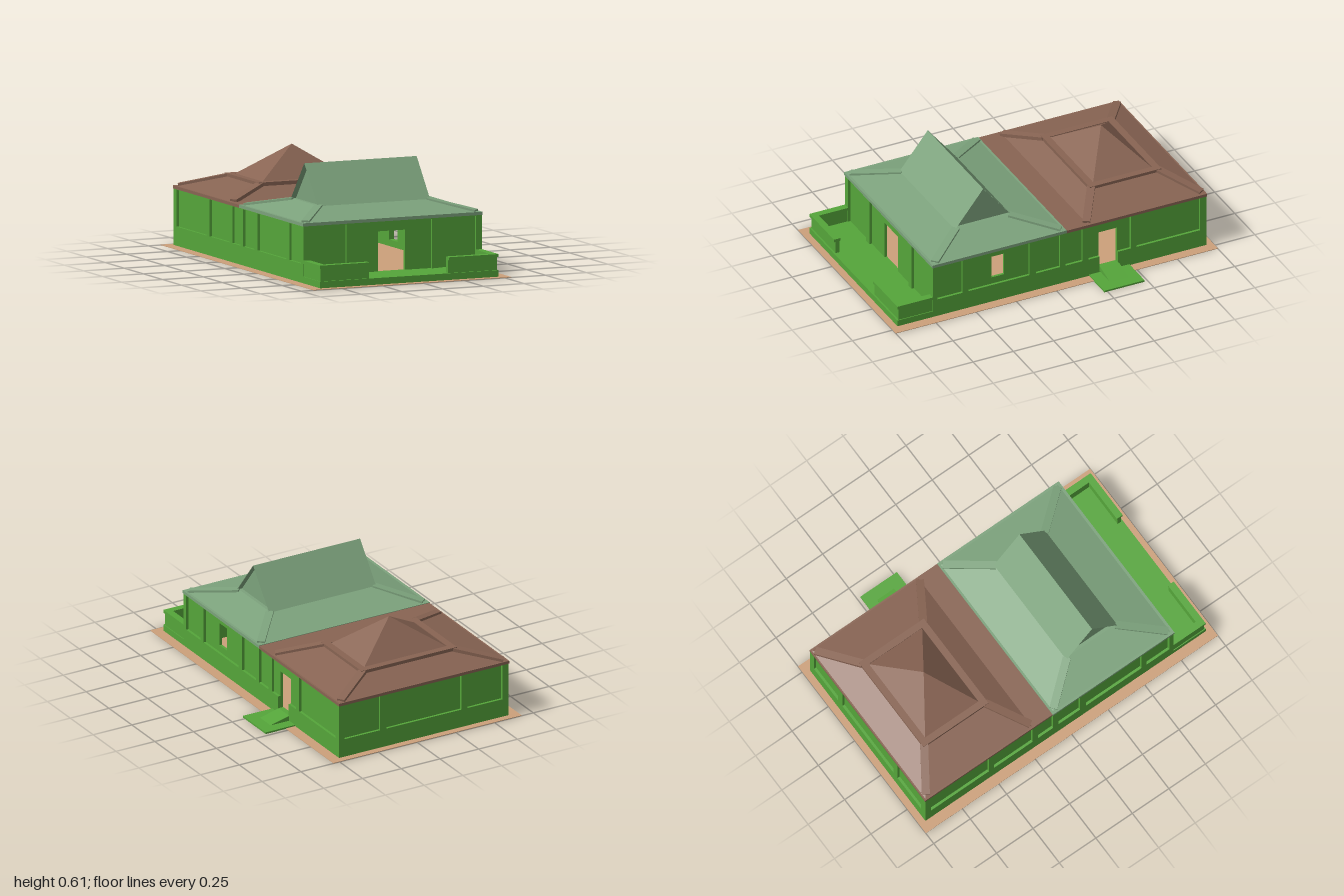
import * as THREE from 'three';

const mat = (name, color, double = false) => {
  const m = new THREE.MeshStandardMaterial({ color });
  m.name = name;
  if (double) m.side = THREE.DoubleSide;
  return m;
};

export function createModel() {
  const wallGreen = mat('wall green', 0x55a53a);
  const roofGreen = mat('sage roof', 0x7ca27c, true);
  const roofBrown = mat('brown roof', 0x886453, true);
  const groundTan = mat('tan ground', 0xcca07a);

  const model = new THREE.Group();
  model.name = 'pavilionHouse';

  const add = (name, geometry, material) => {
    const mesh = new THREE.Mesh(geometry, material);
    mesh.name = name;
    model.add(mesh);
    return mesh;
  };

  // Box given by its extents
  const box = (name, material, x0, x1, y0, y1, z0, z1) => {
    const mesh = add(name, new THREE.BoxGeometry(x1 - x0, y1 - y0, z1 - z0), material);
    mesh.position.set((x0 + x1) / 2, (y0 + y1) / 2, (z0 + z1) / 2);
    return mesh;
  };

  // Sloping faces between two rectangles [x0, x1, z0, z1, y]; sides: 0 front, 1 right, 2 back, 3 left
  const slopes = (name, material, low, high, sides = [0, 1, 2, 3], cap = false) => {
    const ring = ([x0, x1, z0, z1, y]) => [[x0, y, z1], [x1, y, z1], [x1, y, z0], [x0, y, z0]];
    const a = ring(low), b = ring(high), pos = [];
    const tri = (...pts) => pts.forEach((p) => pos.push(...p));
    const same = (p, q) => p.every((v, i) => v === q[i]);
    for (const i of sides) {
      const j = (i + 1) % 4;
      tri(a[i], a[j], b[j]);
      if (!same(b[i], b[j])) tri(a[i], b[j], b[i]);
    }
    if (cap) { tri(b[0], b[1], b[2]); tri(b[0], b[2], b[3]); }
    const g = new THREE.BufferGeometry();
    g.setAttribute('position', new THREE.Float32BufferAttribute(pos, 3));
    g.computeVertexNormals();
    return add(name, g, material);
  };

  // Raised ridge bar from point to point
  const ridge = (name, material, from, to, width = 0.045, height = 0.02) => {
    const p = new THREE.Vector3(...from), q = new THREE.Vector3(...to);
    const mesh = add(name, new THREE.BoxGeometry(width, height, p.distanceTo(q)), material);
    mesh.position.copy(p).add(q).multiplyScalar(0.5);
    mesh.lookAt(q);
  };

  const rect = (u0, u1, v0, v1) => [[u0, v0], [u1, v0], [u1, v1], [u0, v1]];
  const toPoints = (pts) => pts.map(([u, v]) => new THREE.Vector2(u, v));
  const T = 0.015;

  // Wall: thin sheet with openings behind an outer frame with recessed panels
  const wall = (name, u0, u1, panels, openings, angle, x, z) => {
    const group = new THREE.Group();
    group.name = name;
    [['panels', openings, -2 * T], ['frame', panels, -T]].forEach(([part, holes, offset]) => {
      const shape = new THREE.Shape(toPoints(rect(u0, u1, 0, 0.325)));
      holes.forEach((h) => shape.holes.push(new THREE.Path(toPoints(h))));
      const mesh = new THREE.Mesh(
        new THREE.ExtrudeGeometry(shape, { depth: T, bevelEnabled: false }), wallGreen);
      mesh.name = name + part[0].toUpperCase() + part.slice(1);
      mesh.position.z = offset;
      group.add(mesh);
    });
    group.rotation.y = angle;
    group.position.set(x, 0, z);
    model.add(group);
  };

  const X0 = -0.615, X1 = 0.48, Z0 = -0.96, Z1 = 0.74;

  // Ground
  box('ground', groundTan, -0.675, 0.54, 0, 0.003, -1, 1);

  // Front and back walls, each with three bays
  const bays = [[-0.575, -0.35], [-0.31, 0.175], [0.215, 0.445]];
  wall('frontWall', X0, X1, bays.map(([a, b]) => rect(a, b, 0.04, 0.318)),
    [rect(-0.15, 0.015, 0.04, 0.265)], 0, 0, Z1);
  wall('backWall', -X1, -X0, bays.map(([a, b]) => rect(-b, -a, 0.11, 0.318)), [], Math.PI, 0, Z0);

  // Side walls; the bay with the side door reaches down to the ground in the door's width
  const sideBays = [[0.555, 0.71], [0.14, 0.52], [-0.05, 0.10], [-0.19, -0.085], [-0.49, -0.225], [-0.92, -0.525]];
  const rightPanels = sideBays.map(([a, b], i) => i === 4
    ? [[-b, 0.11], [0.295, 0.11], [0.295, 0.012], [0.41, 0.012], [0.41, 0.11], [-a, 0.11], [-a, 0.318], [-b, 0.318]]
    : rect(-b, -a, 0.11, 0.318));
  wall('rightWall', -Z1, -Z0, rightPanels,
    [rect(-0.37, -0.29, 0.15, 0.285), rect(0.295, 0.41, 0.012, 0.26)], Math.PI / 2, X1, 0);
  wall('leftWall', Z0, Z1, sideBays.map(([a, b]) => rect(a, b, 0.11, 0.318)), [], -Math.PI / 2, X0, 0);

  // Terrace with two corner parapets
  box('terrace', wallGreen, X0, X1, 0, 0.04, Z1 - 0.03, 0.96);
  const parapet = (name, outer, inner, end) => {
    const span = (a, b) => [Math.min(a, b), Math.max(a, b)];
    const d = Math.sign(inner - outer) * 0.005;
    box(name + 'Side', wallGreen, ...span(outer + d, inner - d), 0.04, 0.115, Z1, 0.95);
    box(name + 'Front', wallGreen, ...span(inner - d, end), 0.04, 0.115, 0.925, 0.95);
    box(name + 'SideCap', wallGreen, ...span(outer, inner), 0.113, 0.13, Z1, 0.96);
    box(name + 'FrontCap', wallGreen, ...span(inner, end), 0.113, 0.13, 0.92, 0.96);
  };
  parapet('leftParapet', X0, -0.575, -0.31);
  parapet('rightParapet', X1, 0.44, 0.175);

  // Side ramp on a landing slab
  box('rampLanding', wallGreen, X1, 0.67, 0, 0.01, -0.48, -0.23);
  const wedge = new THREE.Shape(toPoints([[X1 - 0.03, 0], [0.6, 0], [0.6, 0.01], [X1, 0.04], [X1 - 0.03, 0.04]]));
  add('ramp', new THREE.ExtrudeGeometry(wedge, { depth: 0.115, bevelEnabled: false }), wallGreen)
    .position.z = -0.415;

  // Hip ridges along the four corners of a skirt roof
  const hips = (name, material, low, high) => {
    for (const i of [0, 1]) for (const j of [2, 3]) {
      ridge(name, material, [low[i], low[4], low[j]], [high[i], high[4], high[j]]);
    }
  };

  // Front roof: skirt with a gabled top
  box('frontEave', roofGreen, -0.62, X1 + 0.003, 0.322, 0.34, -0.09, Z1 + 0.003);
  const frontTop = [-0.405, 0.265, 0.15, 0.5, 0.393];
  slopes('frontSkirt', roofGreen, [-0.615, 0.48, -0.09, 0.74, 0.337], frontTop, undefined, true);
  hips('frontHip', roofGreen, [-0.592, 0.457, -0.067, 0.717, 0.341], [-0.405, 0.265, 0.16, 0.49, 0.391]);
  slopes('gableRoof', roofGreen, [-0.415, 0.275, 0.15, 0.5, 0.393], [-0.415, 0.275, 0.325, 0.325, 0.612], [0, 2]);
  slopes('gableEnds', roofGreen, [-0.385, 0.245, 0.152, 0.498, 0.393], [-0.385, 0.245, 0.325, 0.325, 0.609], [1, 3]);

  // Rear roof: flat link, skirt, curb and pyramid
  box('rearEave', roofBrown, -0.617, X1 + 0.002, 0.32, 0.337, Z0 - 0.003, -0.09);
  const rearTop = [-0.355, 0.22, -0.78, -0.375, 0.402];
  slopes('rearSkirt', roofBrown, [-0.615, 0.48, -0.96, -0.22, 0.335], rearTop, undefined, true);
  hips('rearHip', roofBrown, [-0.592, 0.457, -0.94, -0.225, 0.341], [-0.36, 0.225, -0.785, -0.37, 0.403]);
  for (const z of [-0.78, -0.375]) box('rearCurb', roofBrown, -0.375, 0.24, 0.39, 0.414, z - 0.02, z + 0.02);
  for (const x of [-0.355, 0.22]) box('rearCurb', roofBrown, x - 0.02, x + 0.02, 0.39, 0.414, -0.76, -0.395);
  slopes('pyramid', roofBrown, [-0.335, 0.2, -0.76, -0.395, 0.41], [-0.068, -0.068, -0.578, -0.578, 0.587]);

  return model;
}
